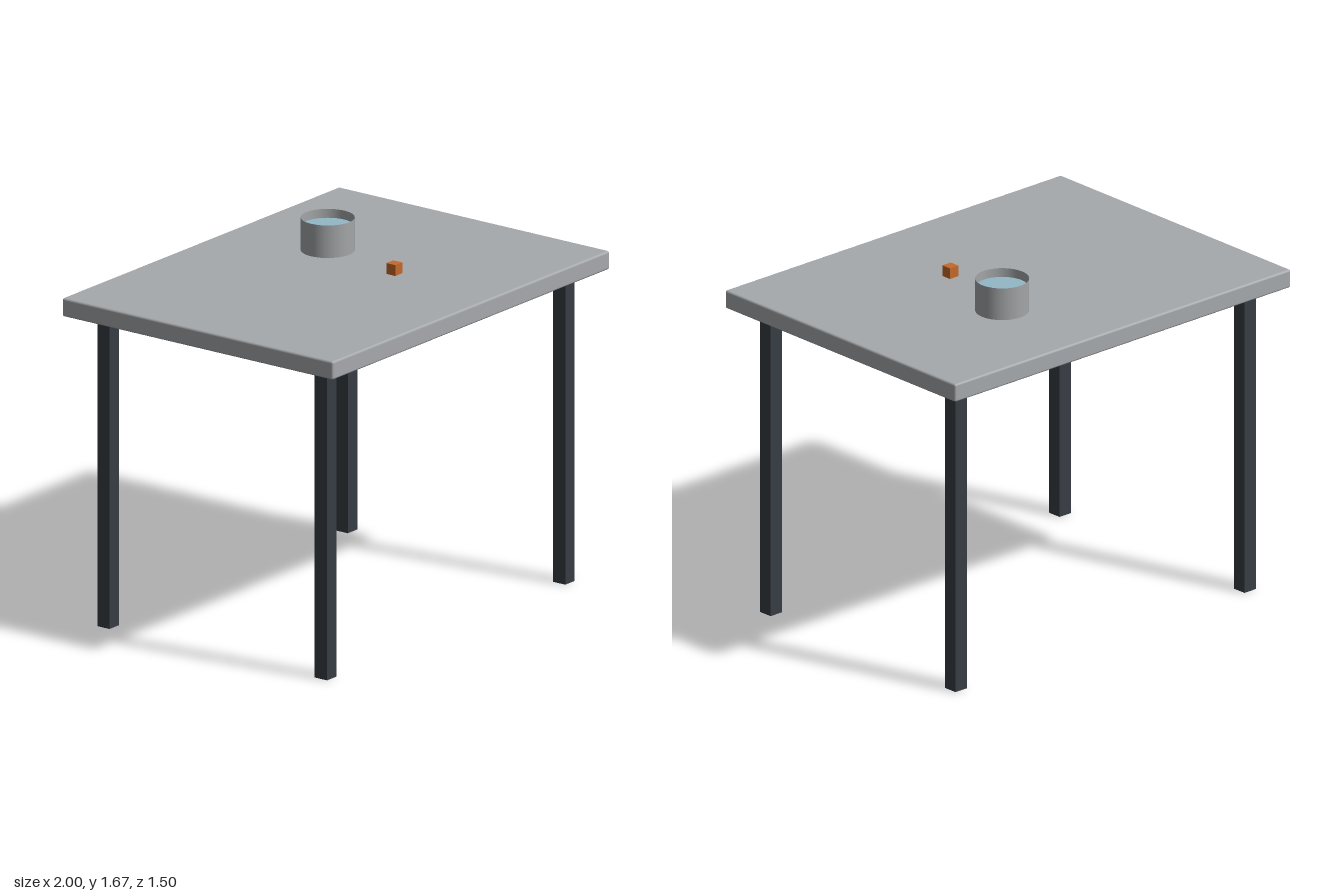
import * as THREE from 'three';
import { RoundedBoxGeometry } from 'three/addons/geometries/RoundedBoxGeometry.js';

function material(name, color, side = THREE.FrontSide) {
  const m = new THREE.MeshStandardMaterial({ color, side });
  m.name = name;
  return m;
}

export function createModel() {
  const model = new THREE.Group();
  model.name = 'labTable';

  const topGrey = material('table grey', 0xa6a9ac);
  const legDark = material('dark steel', 0x363d43);
  const cupGrey = material('cup grey', 0xa3a5a7, THREE.DoubleSide);
  const waterBlue = material('water blue', 0x92b8c5);
  const orange = material('sample orange', 0xc4692b);

  const add = (name, geometry, mat, x, y, z) => {
    const mesh = new THREE.Mesh(geometry, mat);
    mesh.name = name;
    mesh.position.set(x, y, z);
    model.add(mesh);
    return mesh;
  };

  // Tabletop with softened edges
  const topY = 1.52, thickness = 0.085;
  add('tabletop', new RoundedBoxGeometry(2, thickness, 1.5, 3, 0.01), topGrey,
    0, topY - thickness / 2, 0);

  // Four square legs
  const legHeight = topY - thickness;
  const legGeometry = new THREE.BoxGeometry(0.068, legHeight, 0.068);
  for (const [side, sx] of [['Left', 1], ['Right', -1]]) {
    for (const [end, sz] of [['front', 1], ['back', -1]]) {
      add(`${end}${side}Leg`, legGeometry, legDark, sx * 0.86, legHeight / 2, sz * 0.602);
    }
  }

  // Open thin-walled beaker with its water surface
  const radius = 0.119, cupHeight = 0.15, waterHeight = 0.11;
  add('beakerWall', new THREE.CylinderGeometry(radius, radius, cupHeight, 48, 1, true), cupGrey,
    0.257, topY + cupHeight / 2, -0.243);
  add('water', new THREE.CylinderGeometry(radius - 0.003, radius - 0.003, waterHeight, 48), waterBlue,
    0.257, topY + waterHeight / 2, -0.243);

  // Small sample cube
  add('sampleCube', new THREE.BoxGeometry(0.05, 0.05, 0.05), orange, 0.16, 1.547, 0.2);

  return model;
}
